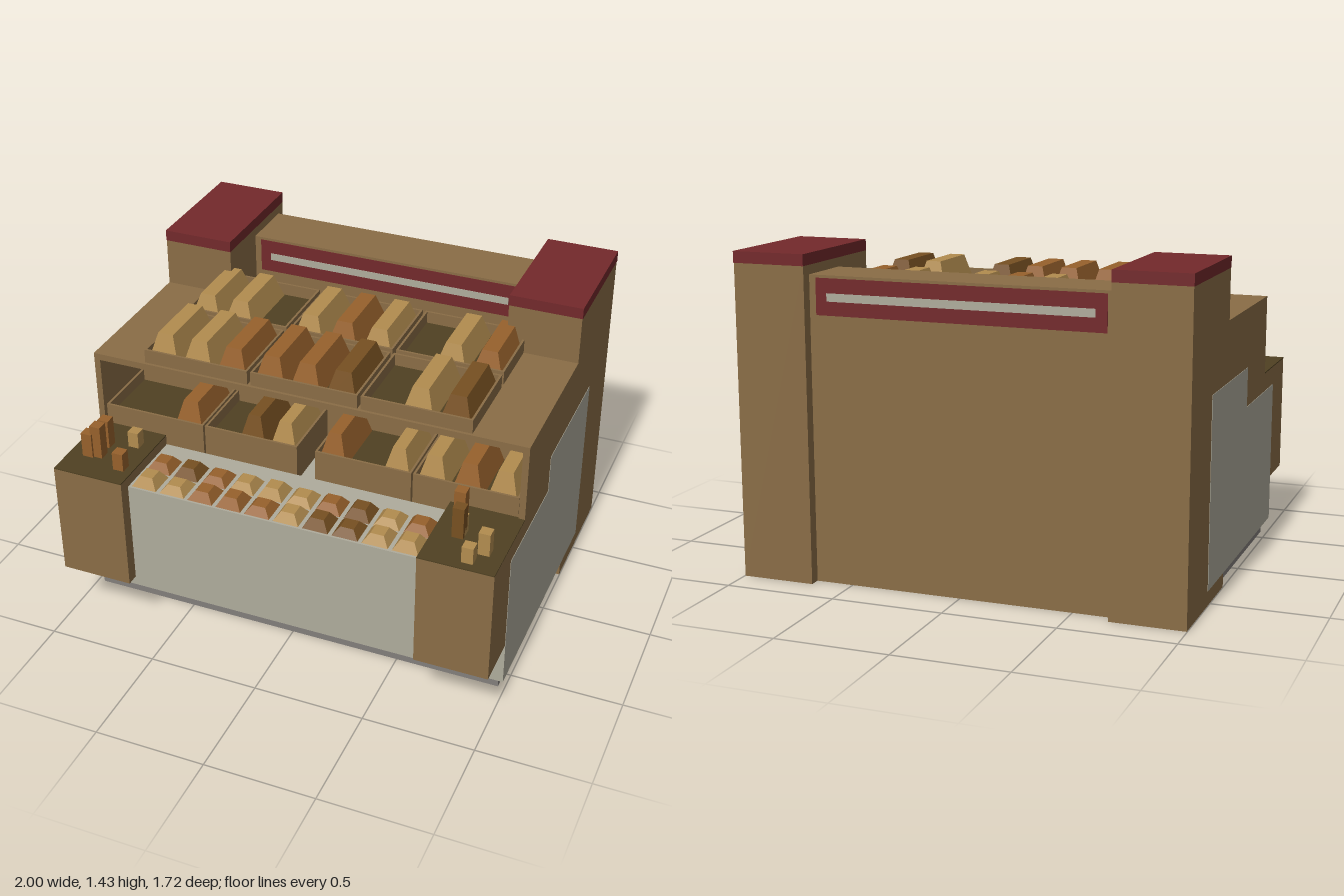
import * as THREE from 'three';

const mat = (name, color, side = THREE.FrontSide) => {
  const m = new THREE.MeshStandardMaterial({ color, side });
  m.name = name;
  return m;
};

export function createModel() {
  const root = new THREE.Group();
  root.name = 'bakeryStand';
  const wood = mat('wood', 0x8a6d46, THREE.DoubleSide);
  const darkWood = mat('darkWood', 0x504122);
  const stone = mat('stone', 0xafac9c);
  const plinthGrey = mat('plinthGrey', 0x827e7b, THREE.DoubleSide);
  const red = mat('red', 0x73292b);
  const bread = { l: mat('lightCrust', 0xb28c4f), b: mat('brownCrust', 0x97612c), d: mat('darkCrust', 0x775021) };

  // Box given by its minimum and maximum corners; open drops the underside
  const box = (name, m, x0, x1, y0, y1, z0, z1, parent = root, open = false) => {
    const g = new THREE.BoxGeometry(x1 - x0, y1 - y0, z1 - z0);
    if (open) {
      const i = Array.from(g.index.array);
      i.splice(18, 6);
      g.setIndex(i);
    }
    const mesh = new THREE.Mesh(g, m);
    mesh.name = name;
    mesh.position.set((x0 + x1) / 2, (y0 + y1) / 2, (z0 + z1) / 2);
    parent.add(mesh);
    return mesh;
  };
  // Same box on both sides of x = 0
  const pair = (name, m, x0, x1, ...rest) => {
    box(name + 'Left', m, x0, x1, ...rest);
    box(name + 'Right', m, -x1, -x0, ...rest);
  };

  // Loaf: a box whose top narrows by a fixed inset on every side
  const loaf = (kind, x, y, z, w, h, d, inset, parent) => {
    const g = new THREE.BoxGeometry(w, h, d);
    const p = g.attributes.position;
    for (let i = 0; i < p.count; i++) {
      if (p.getY(i) > 0) {
        p.setX(i, p.getX(i) - Math.sign(p.getX(i)) * inset);
        p.setZ(i, p.getZ(i) - Math.sign(p.getZ(i)) * inset);
      }
    }
    g.computeVertexNormals();
    const mesh = new THREE.Mesh(g, bread[kind]);
    mesh.name = 'loaf';
    mesh.position.set(x, y + h / 2, z);
    parent.add(mesh);
  };

  // Open crate with a dark floor and three loaf slots ('.' is empty)
  const crate = (name, slots, x0, x1, y0, y1, z0, z1, rise) => {
    const g = new THREE.Group();
    g.name = name;
    root.add(g);
    const t = 0.01, floor = y1 - 0.055;
    box('crateFront', wood, x0, x1, y0, y1, z1 - t, z1, g);
    box('crateBack', wood, x0, x1, y0, y1, z0, z0 + t, g);
    box('crateSideRight', wood, x0, x0 + t, y0, y1, z0 + t, z1 - t, g);
    box('crateSideLeft', wood, x1 - t, x1, y0, y1, z0 + t, z1 - t, g);
    box('crateFloor', darkWood, x0 + t, x1 - t, y0 + 0.002, floor, z0 + t, z1 - t, g);
    const step = (x1 - x0) / 3;
    [...slots].forEach((k, i) => {
      if (k !== '.') loaf(k, x0 + step * (i + 0.5), floor, (z0 + z1) / 2,
        step * 0.87, 0.055 + rise, z1 - z0 - 0.03, 0.036, g);
    });
  };

  // Hollow plinth, stone body and front counter
  pair('plinthSide', plinthGrey, 0.965, 0.97, 0, 0.065, -0.27, 0.59);
  box('plinthFront', plinthGrey, -0.965, 0.965, 0, 0.065, 0.585, 0.59);
  box('plinthBack', plinthGrey, -0.965, 0.965, 0, 0.065, -0.27, -0.265);
  box('bodyRear', stone, -1, 1, 0.065, 0.895, -0.535, 0.09);
  box('bodyFront', stone, -1, 1, 0.065, 0.717, 0.09, 0.627);
  box('counter', stone, -0.67, 0.67, 0.268, 0.755, 0.44, 0.8);

  // Rear posts, caps and back wall
  pair('rearPost', wood, 0.67, 0.998, 0, 1.38, -0.858, -0.27, root, true);
  pair('postCap', red, 0.67, 1, 1.38, 1.43, -0.86, -0.27);
  box('backPanel', wood, -0.67, 0.67, 0, 0.89, -0.808, -0.8);
  box('backWall', wood, -0.67, 0.67, 0.89, 1.34, -0.808, -0.542, root, true);

  // Red signs with a pale stripe, on both faces of the back wall
  for (const [z, s, n] of [[-0.542, 1, 'front'], [-0.808, -1, 'back']]) {
    const layer = (name, m, x, y0, y1, d) =>
      box(n + name, m, -x, x, y0, y1, Math.min(z, z + s * d), Math.max(z, z + s * d));
    layer('Sign', red, 0.64, 1.17, 1.328, 0.002);
    layer('SignStripe', stone, 0.59, 1.23, 1.265, 0.004);
  }

  // Side walls, deck, riser under the back shelf, and front posts
  pair('sideWall', wood, 0.97, 0.998, 0.715, 1.13, -0.27, 0.45);
  box('deck', wood, -0.998, 0.998, 1.13, 1.16, -0.36, 0.45);
  box('shelfRiser', wood, -0.97, 0.97, 0.717, 0.897, 0.088, 0.094);
  pair('frontPost', wood, 0.67, 0.998, 0.268, 0.8, 0.44, 0.857);
  pair('frontPostTop', darkWood, 0.67, 0.998, 0.8, 0.805, 0.442, 0.857);

  // Crates on the deck
  ['llb', 'bbd', '.ld'].forEach((s, i) =>
    crate('deckCrateFront', s, -0.75 + i * 0.505, -0.26 + i * 0.505, 1.16, 1.224, 0.05, 0.437, 0.07));
  ['ll.', 'lbl', '.lb'].forEach((s, i) =>
    crate('deckCrateBack', s, -0.75 + i * 0.505, -0.26 + i * 0.505, 1.16, 1.224, -0.358, 0.025, 0.058));

  // Crates in the niche under the deck
  const nicheX = [[-0.965, -0.485], [-0.476, -0.035], [0.05, 0.49], [0.498, 0.965]];
  ['..b', '.dl', 'b.l', 'lbl'].forEach((s, i) =>
    crate('nicheCrateFront', s, ...nicheX[i], 0.72, 0.895, 0.095, 0.435, 0.08));
  ['ld.', 'lbl', 'lbl', 'lbl'].forEach((s, i) =>
    crate('nicheCrateBack', s, ...nicheX[i], 0.9, 0.96, -0.26, 0.085, 0.1));

  // Two rows of rolls on the counter
  ['bdblllbdlb', 'llbbblddll'].forEach((row, r) => [...row].forEach((k, i) =>
    loaf(k, -0.599 + i * 0.133, 0.755, 0.6 + r * 0.13, 0.115, [0.04, 0.045, 0.035][(i + r) % 3], 0.12, 0.028, root)));

  // Bread sticks on the front posts: kind, x, z, top
  [['l', -0.755, 0.56, 0.88], ['b', -0.875, 0.605, 0.94], ['b', -0.905, 0.7, 0.92], ['b', -0.865, 0.69, 0.96],
    ['b', -0.73, 0.745, 0.89], ['b', 0.74, 0.51, 0.93], ['l', 0.78, 0.63, 0.89], ['d', 0.78, 0.65, 0.95],
    ['l', 0.915, 0.72, 0.91], ['l', 0.87, 0.795, 0.88]].forEach(([k, x, z, top]) =>
    box('breadStick', bread[k], x - 0.025, x + 0.025, 0.8, top, z - 0.025, z + 0.025));

  return root;
}
